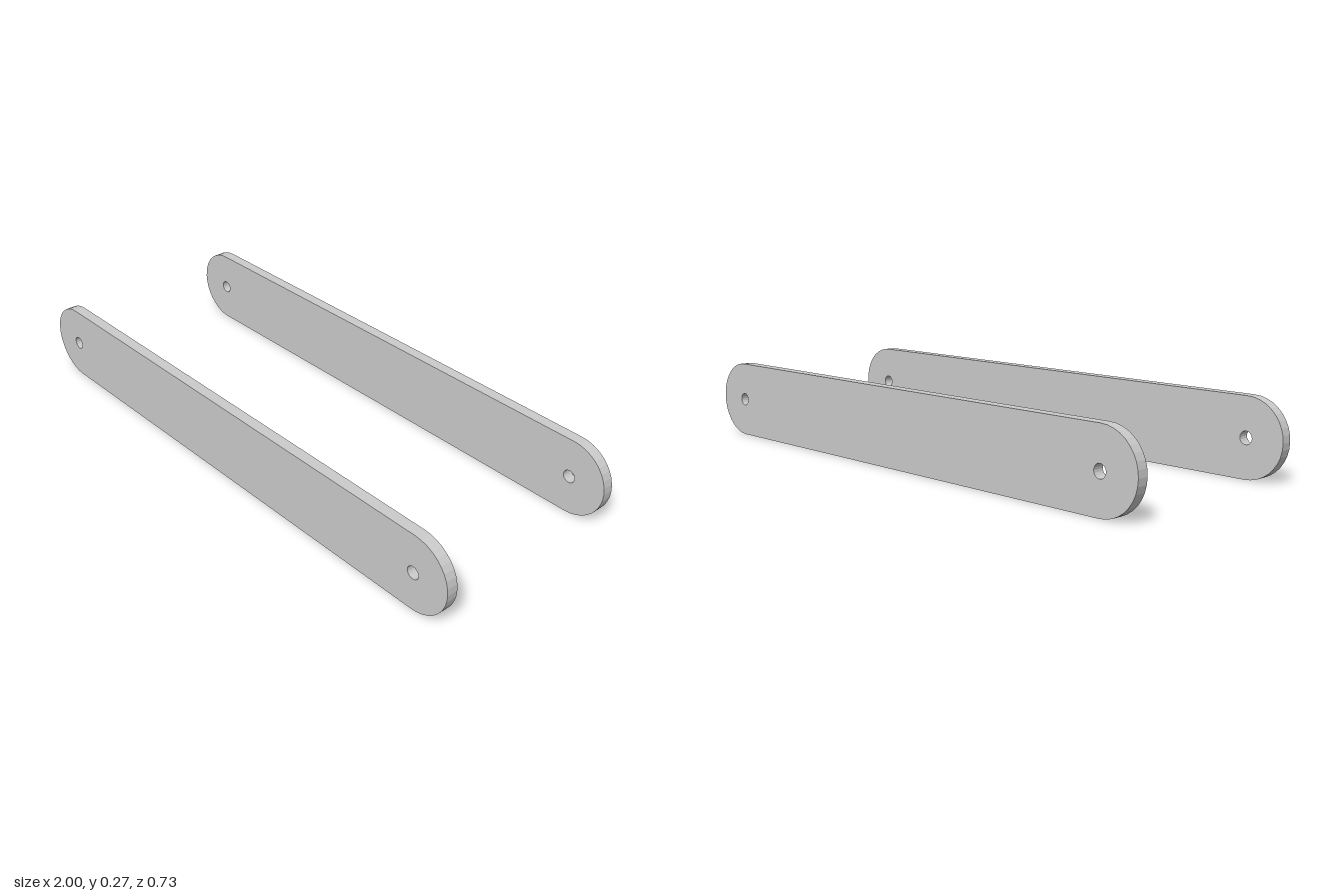
import * as THREE from 'three';

const R = 0.133;            // end radius, half the bar height
const PIN_X = 1 - R;        // centre of the rounded ends and holes
const HOLE_R = 0.022;
const THICKNESS = 0.039;
const INNER_Z = 0.328;      // inner face of each bar

// Flat link bar with rounded ends and a pin hole at each end
function barGeometry() {
  const shape = new THREE.Shape();
  shape.absarc(PIN_X, R, R, -Math.PI / 2, Math.PI / 2, false);
  shape.absarc(-PIN_X, R, R, Math.PI / 2, Math.PI * 1.5, false);
  shape.closePath();
  for (const x of [-PIN_X, PIN_X]) {
    const hole = new THREE.Path();
    hole.absarc(x, R, HOLE_R, 0, Math.PI * 2, true);
    shape.holes.push(hole);
  }
  return new THREE.ExtrudeGeometry(shape, {
    depth: THICKNESS, bevelEnabled: false, curveSegments: 9,
  });
}

export function createModel() {
  const group = new THREE.Group();
  group.name = 'linkBarPair';
  const material = new THREE.MeshStandardMaterial({ color: 0xcccccc, flatShading: true });
  const geometry = barGeometry();

  // Two parallel bars, front and back
  for (const [name, z] of [['frontBar', INNER_Z], ['backBar', -INNER_Z - THICKNESS]]) {
    const bar = new THREE.Mesh(geometry, material);
    bar.name = name;
    bar.position.z = z;
    group.add(bar);
  }
  return group;
}
